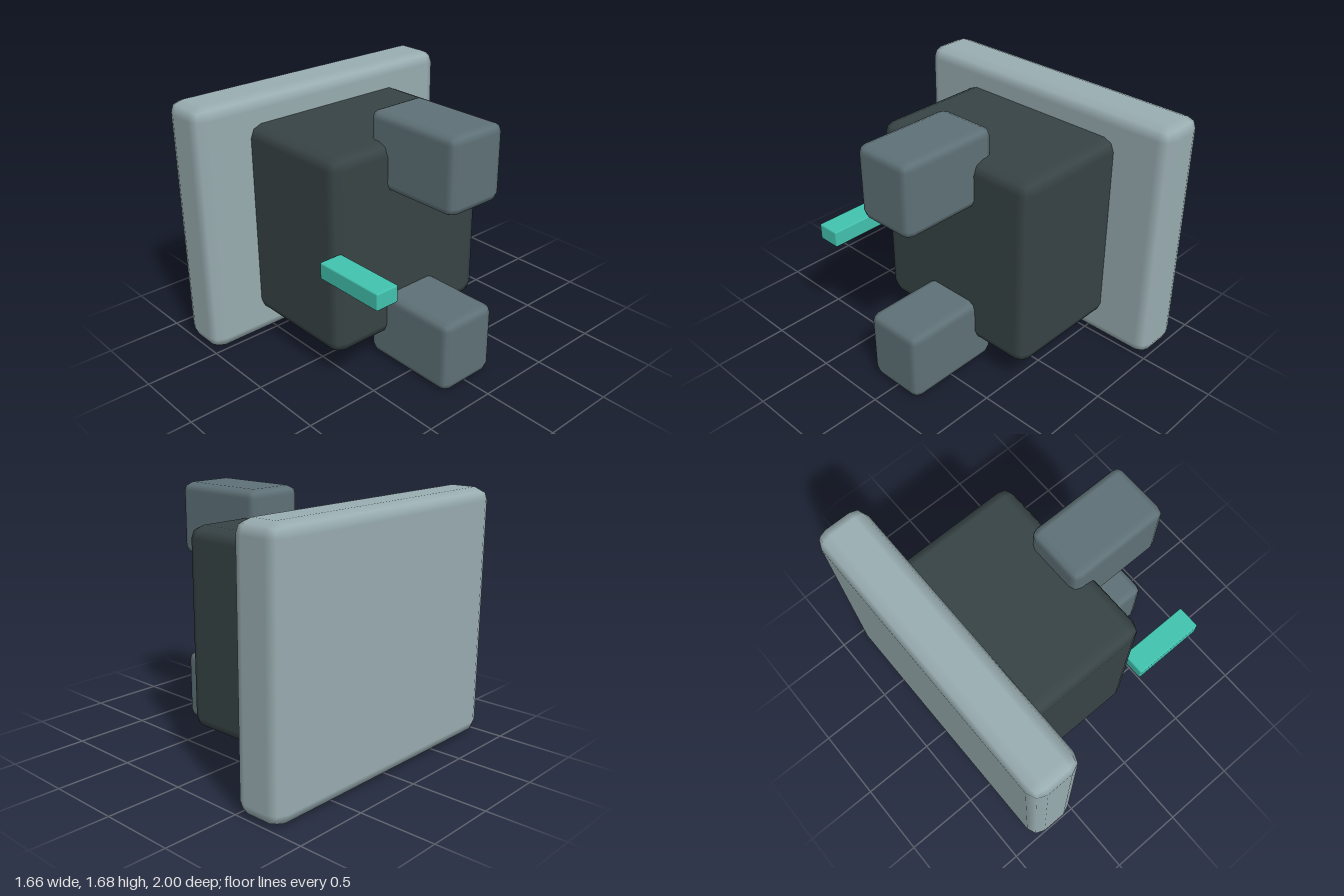
import * as THREE from 'three';
import { RoundedBoxGeometry } from 'three/addons/geometries/RoundedBoxGeometry.js';

// Box given by its min and max corners, with edges rounded in two facets
function block(name, material, min, max, radius) {
  const [w, h, d] = max.map((v, i) => v - min[i]);
  const mesh = new THREE.Mesh(new RoundedBoxGeometry(w, h, d, 1, radius), material);
  mesh.position.set(min[0] + w / 2, min[1] + h / 2, min[2] + d / 2);
  mesh.name = name;
  return mesh;
}

export function createModel() {
  const group = new THREE.Group();
  group.name = 'model';
  const pale = new THREE.MeshStandardMaterial({ color: 0x9aaeb2 });
  const dark = new THREE.MeshStandardMaterial({ color: 0x384446 });
  const slate = new THREE.MeshStandardMaterial({ color: 0x5f7278 });
  const teal = new THREE.MeshStandardMaterial({ color: 0x43c4b0 });

  group.add(
    // Large upright plate on the right side
    block('backPlate', pale, [-0.83, 0, -1], [-0.49, 1.68, 1], 0.085),
    // Main body, its end sunk into the plate
    block('body', dark, [-0.6, 0.19, -0.62], [0.305, 1.5, 0.62], 0.08),
    // Indicator bar at the front corner
    block('indicatorBar', teal, [0.28, 0.79, 0.56], [0.775, 0.9, 0.72], 0.01)
  );

  // Lower and upper jaws
  [['lowerJaw', 0], ['upperJaw', 1.195]].forEach(([name, y]) => {
    group.add(block(name, slate, [0.14, y, -0.207], [0.83, y + 0.485, 0.207], 0.055));
  });
  return group;
}
